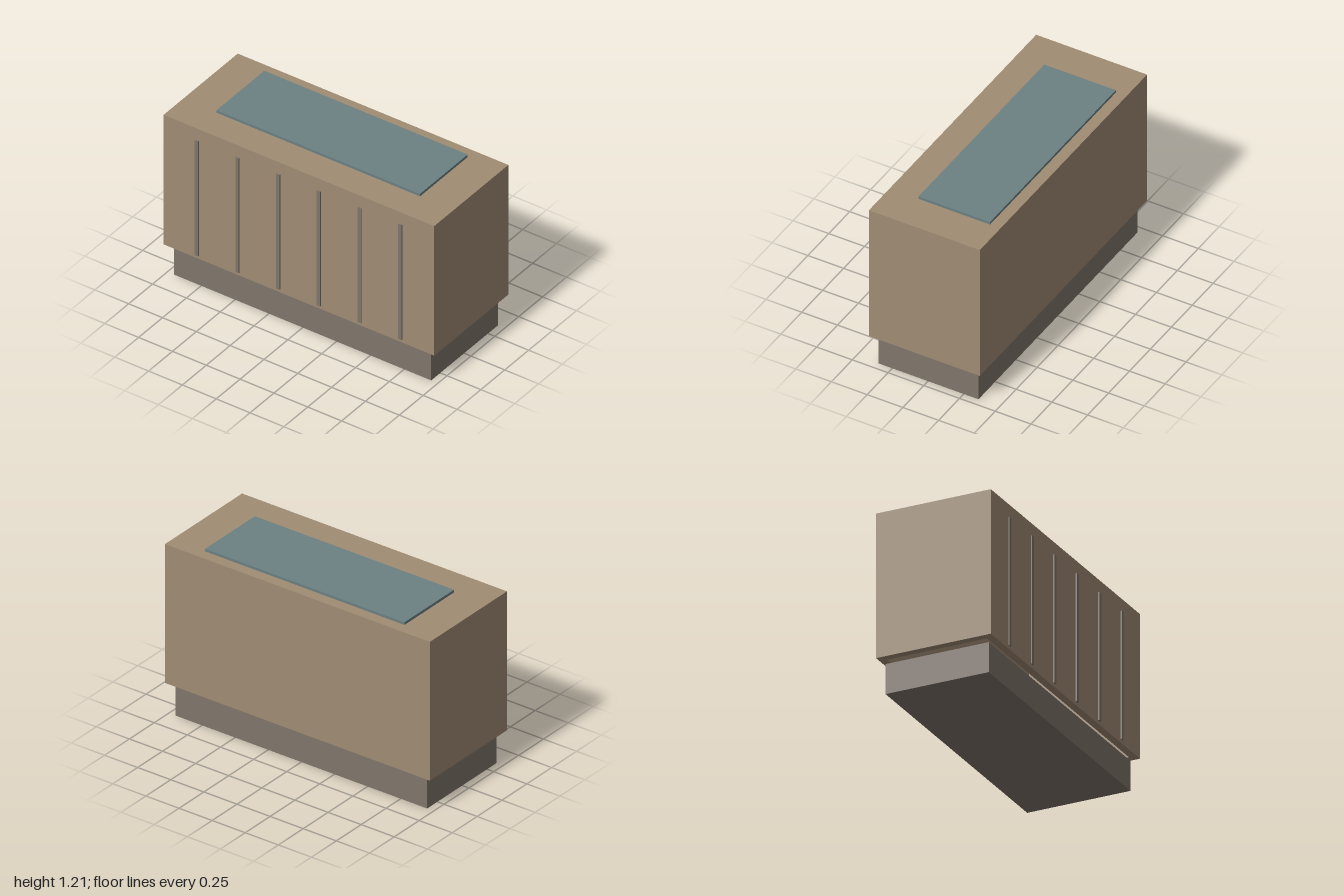
import * as THREE from 'three';

const paint = (name, color) => {
  const m = new THREE.MeshStandardMaterial({ color });
  m.name = name;
  return m;
};

export function createModel() {
  const group = new THREE.Group();
  group.name = 'cabinet';
  const tan = paint('tan', 0xa08c74);
  const brown = paint('greyBrown', 0x80756b);
  const slate = paint('slateBlue', 0x6c8083);

  // Box given by its lower and upper corners
  const box = (name, material, [x0, y0, z0], [x1, y1, z1]) => {
    const mesh = new THREE.Mesh(new THREE.BoxGeometry(x1 - x0, y1 - y0, z1 - z0), material);
    mesh.position.set((x0 + x1) / 2, (y0 + y1) / 2, (z0 + z1) / 2);
    mesh.name = name;
    group.add(mesh);
  };

  // Plinth, separated from the body by a narrow gap
  box('plinth', brown, [-0.95, 0, -0.353], [0.95, 0.2, 0.345]);

  // Hollow body: four walls, open below, closed by a top slab
  const wall = 0.05, bottom = 0.227, top = 1.19, back = -0.392, front = 0.384;
  const rectangle = (Type, inset) => new Type().setFromPoints([
    new THREE.Vector2(-1 + inset, -front + inset),
    new THREE.Vector2(1 - inset, -front + inset),
    new THREE.Vector2(1 - inset, -back - inset),
    new THREE.Vector2(-1 + inset, -back - inset),
  ]).closePath();
  const outline = rectangle(THREE.Shape, 0);
  outline.holes.push(rectangle(THREE.Path, wall));
  const shell = new THREE.ExtrudeGeometry(outline, { depth: top - wall - bottom, bevelEnabled: false });
  shell.rotateX(-Math.PI / 2).translate(0, bottom, 0);
  const walls = new THREE.Mesh(shell, tan);
  walls.name = 'bodyWalls';
  group.add(walls);
  box('bodyTop', tan, [-1, top - wall, back], [1, top, front]);

  // Inset panel on the top
  box('topPanel', slate, [-0.752, top, -0.318], [0.752, 1.208, 0.182]);

  // Six upright ribs on the front
  for (let i = 0; i < 6; i++) {
    const x = -0.752 + i * 0.3008;
    box('frontRib', brown, [x - 0.0125, 0.25, front - 0.01], [x + 0.0125, 1.103, 0.393]);
  }
  return group;
}
